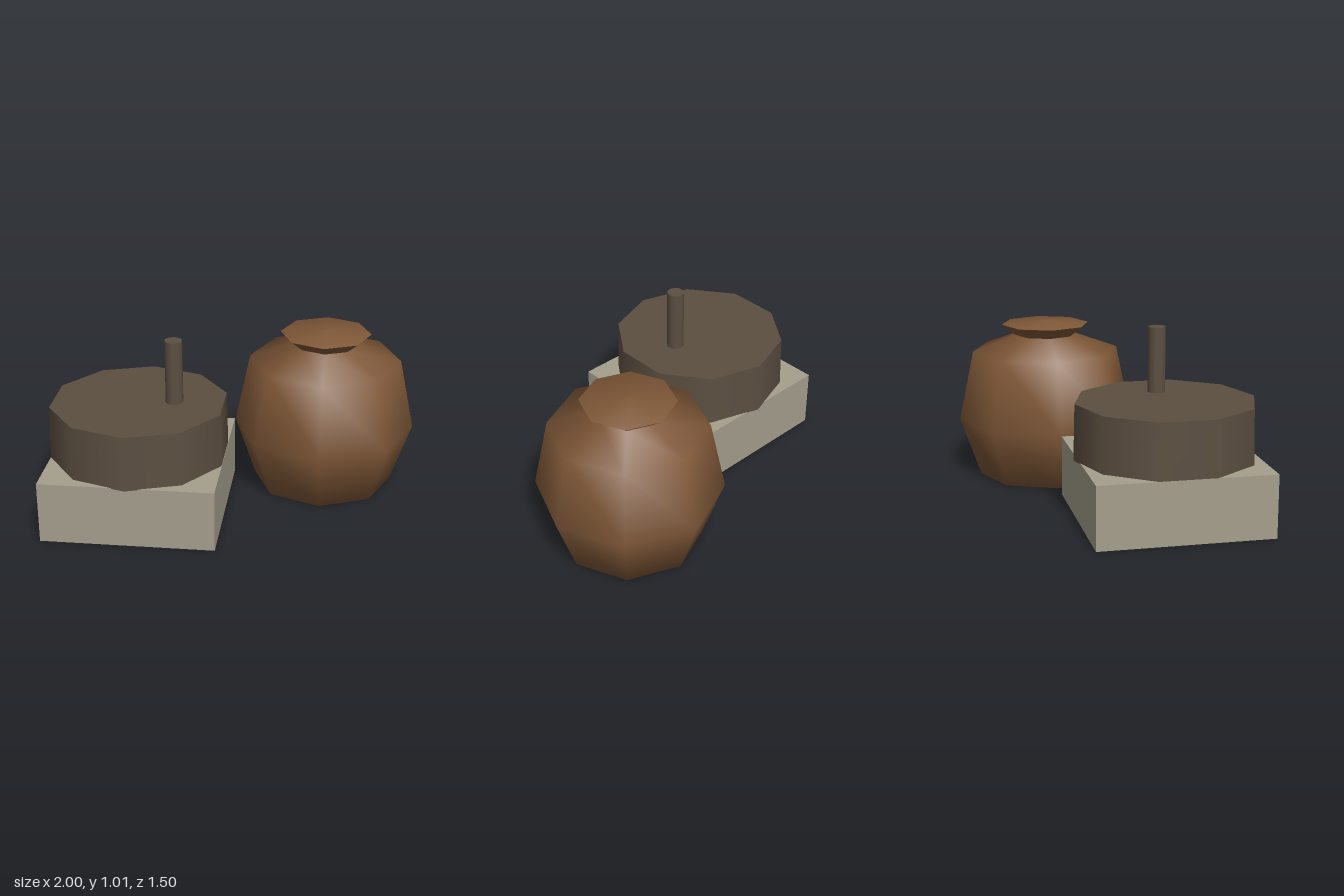
import * as THREE from 'three';

export function createModel() {
  const model = new THREE.Group();
  const material = (name, color) => {
    const m = new THREE.MeshStandardMaterial({ color });
    m.name = name;
    return m;
  };
  const paleStone = material('pale stone', 0xa59e8c);
  const darkStone = material('dark stone', 0x5c4f41);
  const clay = material('brown clay', 0x7e5737);

  const add = (name, geometry, mat, x, y, z) => {
    const mesh = new THREE.Mesh(geometry, mat);
    mesh.name = name;
    mesh.position.set(x, y, z);
    model.add(mesh);
  };

  // Hand mill: square base, ten-sided grinding stone, off-centre handle
  add('millBase', new THREE.BoxGeometry(0.954, 0.345, 0.954), paleStone, -0.52, 0.1725, 0.245);
  add('grindingStone', new THREE.CylinderGeometry(0.493, 0.5, 0.307, 10), darkStone, -0.52, 0.4945, 0.245);
  add('handle', new THREE.CylinderGeometry(0.049, 0.049, 0.4, 10), darkStone, -0.322, 0.808, 0.245);

  // Eight-sided pot with a pinched neck and a shallow pointed top
  const profile = [
    [0, 0], [0.4, 0], [0.518, 0.345], [0.433, 0.75],
    [0.18, 0.842], [0.259, 0.905], [0, 0.925],
  ].map(([r, y]) => new THREE.Vector2(r, y));
  add('pot', new THREE.LatheGeometry(profile, 8), clay, 0.48, 0, -0.235);

  return model;
}
